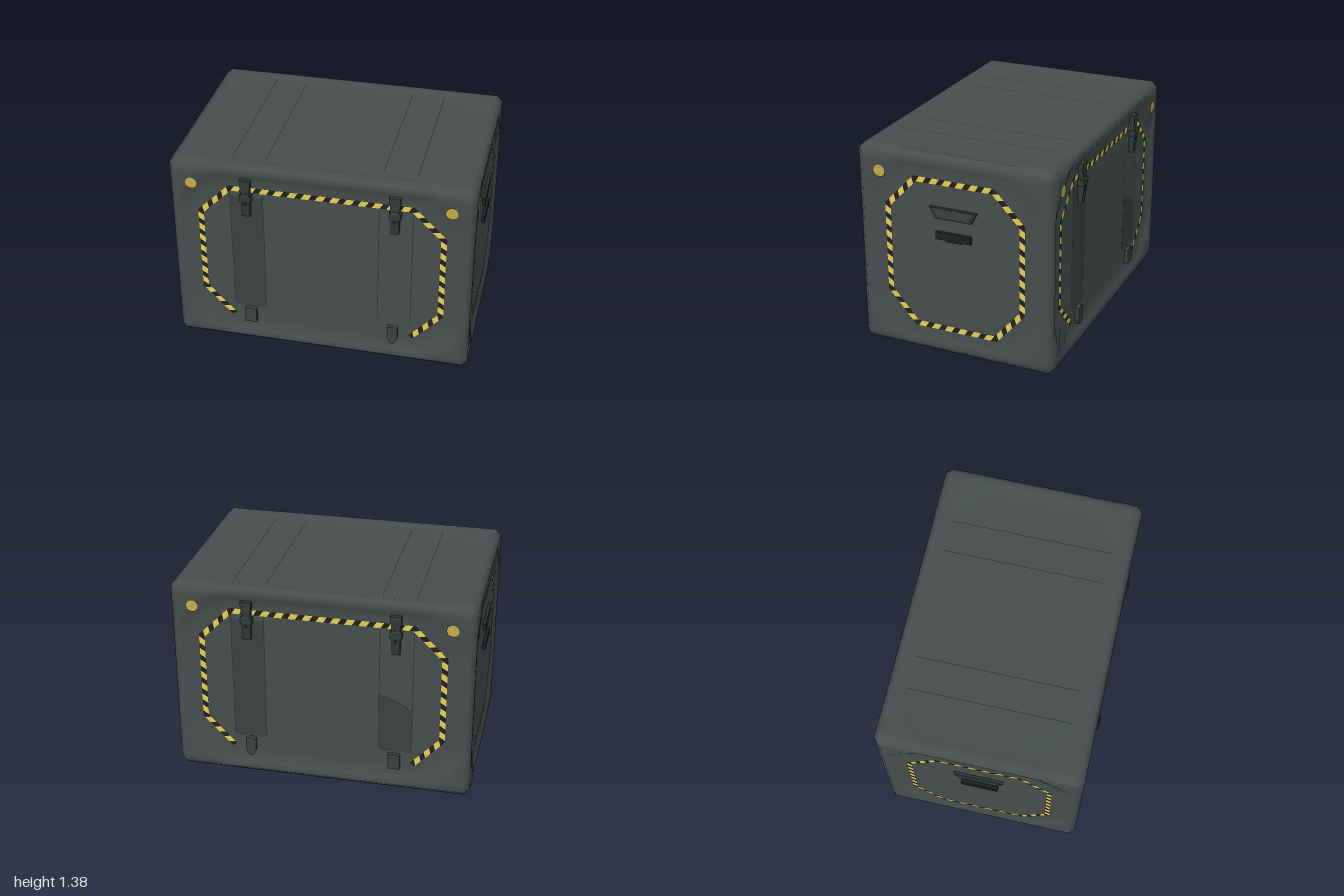
import * as THREE from 'three';
import { mergeVertices } from 'three/addons/utils/BufferGeometryUtils.js';

const SIZE = [1.99, 1.385, 1.35];
const [W, H, D] = SIZE;
// How far the panels sink below the rims along x, y and z
const DIP = [0.018, 0.015, 0.032];

const material = (name, color) => {
  const m = new THREE.MeshStandardMaterial({ color });
  m.name = name;
  return m;
};

// Chamfered box whose faces dish inwards behind a rim with cut corners
function dishedBox() {
  const N = 24, chamfer = 0.042, rampEnd = 0.125;
  let g = new THREE.BoxGeometry(W, H, D, N, N, N);
  g.deleteAttribute('normal');
  g.deleteAttribute('uv');
  g = mergeVertices(g);
  const pos = g.attributes.position;
  for (let i = 0; i < pos.count; i++) {
    const p = [pos.getX(i), pos.getY(i), pos.getZ(i)];
    const ring = p.map((v, a) => Math.round((0.5 - Math.abs(v) / SIZE[a]) * N));
    const outer = ring.filter(r => r === 0).length;
    const inset = ring.map((r, a) => {
      if (r === 0) return chamfer * (outer - 1) / outer;
      if (r < 4) return [chamfer, 0.085, rampEnd][r - 1];
      return rampEnd + (r - 3) / (N / 2 - 3) * (SIZE[a] / 2 - rampEnd);
    });
    if (outer === 1) {
      const axis = ring.indexOf(0);
      const [u, v] = inset.filter((_, a) => a !== axis);
      const rim = Math.min(u, v, (u + v - 0.25) * Math.SQRT1_2);
      inset[axis] = DIP[axis] * THREE.MathUtils.smoothstep(rim, chamfer, rampEnd);
    }
    pos.setXYZ(i, ...p.map((v, a) => Math.sign(v) * (SIZE[a] / 2 - inset[a])));
  }
  g.computeVertexNormals();
  return g;
}

export function createModel() {
  const shell = material('shell grey', 0x474e4e);
  const strap = material('strap grey', 0x3a4041);
  const metal = material('latch grey', 0x33393a);
  const seamMat = material('seam dark', 0x2c3132);
  const black = material('hazard black', 0x1e2022);
  const yellow = material('hazard yellow', 0xe8d052);
  const gold = material('marker yellow', 0xc2ad48);

  const model = new THREE.Group();
  model.name = 'crate';
  const add = (parent, name, geometry, mat, x = 0, y = 0, z = 0) => {
    const mesh = new THREE.Mesh(geometry, mat);
    mesh.name = name;
    mesh.position.set(x, y, z);
    parent.add(mesh);
    return mesh;
  };
  const poly = pts => new THREE.Shape(pts.map(p => new THREE.Vector2(...p)));
  const plate = (pts, depth) => new THREE.ExtrudeGeometry(poly(pts), { depth, bevelEnabled: false });

  add(model, 'body', dishedBox(), shell, 0, H / 2, 0);

  // Each face is a group whose local xy lies on the sunken panel, z outward
  const face = (name, x, y, z, rx, ry) => {
    const g = new THREE.Group();
    g.name = name;
    g.position.set(x, y, z);
    g.rotation.set(rx, ry, 0);
    model.add(g);
    return g;
  };
  const front = face('frontFace', 0, 0, D / 2 - DIP[2], 0, 0);
  const back = face('backFace', 0, 0, DIP[2] - D / 2, 0, Math.PI);
  const left = face('leftFace', W / 2 - DIP[0], 0, 0, 0, Math.PI / 2);
  const right = face('rightFace', DIP[0] - W / 2, 0, 0, 0, -Math.PI / 2);
  const top = face('topFace', 0, H - DIP[1], 0, -Math.PI / 2, 0);
  const bottom = face('bottomFace', 0, DIP[1], 0, Math.PI / 2, 0);

  // Black band with slanted yellow stripes along a path
  function hazardBand(parent, path, closed) {
    const bands = [], stripes = [], half = 0.019;
    const count = closed ? path.length : path.length - 1;
    for (let i = 0; i < count; i++) {
      const a = new THREE.Vector2(...path[i]);
      const b = new THREE.Vector2(...path[(i + 1) % path.length]);
      const length = a.distanceTo(b);
      const dir = b.clone().sub(a).normalize();
      const at = (s, t) => [a.x + dir.x * s - dir.y * t, a.y + dir.y * s + dir.x * t];
      bands.push(poly([at(-0.007, -half), at(length + 0.007, -half), at(length + 0.007, half), at(-0.007, half)]));
      const n = Math.round(length / 0.092), step = length / n;
      for (let k = 0; k < n; k++) {
        const s = (k + 0.5) * step, w = step * 0.27, skew = 0.012;
        stripes.push(poly([
          at(s - w - skew, -half), at(s + w - skew, -half),
          at(s + w + skew, half), at(s - w + skew, half)]));
      }
    }
    add(parent, 'hazardBand', new THREE.ShapeGeometry(bands), black, 0, 0, 0.002);
    add(parent, 'hazardStripes', new THREE.ShapeGeometry(stripes), yellow, 0, 0, 0.0035);
  }

  // Round marker on the raised corner of a face
  function marker(parent, x, y, rise) {
    add(parent, 'markerRim', new THREE.CircleGeometry(0.042, 24), seamMat, x, y, rise + 0.001);
    add(parent, 'marker', new THREE.CircleGeometry(0.039, 24), gold, x, y, rise + 0.0025);
  }

  // Pairs of seams marking the strap channels
  function seams(parent, y0, y1) {
    for (const x of [-0.6, -0.38, 0.38, 0.6])
      add(parent, 'strapSeam', new THREE.PlaneGeometry(0.005, y1 - y0), seamMat, x, (y0 + y1) / 2, 0.0015);
  }

  // Latch standing up from the panel: flared cap, wedge lever, knuckle and rivet
  function latch(parent, x) {
    const g = new THREE.Group();
    g.name = 'latch';
    g.position.x = x;
    parent.add(g);
    add(g, 'latchCap', plate([[-0.04, 1.285], [-0.028, 1.18], [0.028, 1.18], [0.036, 1.285]], DIP[2] + 0.003), metal);
    const lever = new THREE.ExtrudeGeometry(
      poly([[0, 1.015], [0.028, 1.015], [0.045, 1.175], [0.038, 1.19], [0, 1.19]]),
      { depth: 0.054, bevelEnabled: false });
    lever.rotateY(-Math.PI / 2);
    add(g, 'latchLever', lever, metal, 0.027);
    add(g, 'latchKnuckle', new THREE.BoxGeometry(0.076, 0.045, 0.042), metal, 0, 1.155, 0.022);
    const rivet = new THREE.CylinderGeometry(0.013, 0.013, 0.006, 12).rotateX(Math.PI / 2);
    add(g, 'latchRivet', rivet, black, 0, 1.115, 0.039);
  }

  // Lower catch, square on one side and tongue shaped on the other
  function lowerCatch(parent, x, rounded) {
    const pts = rounded
      ? [[-0.035, 0.265], [-0.035, 0.18], [-0.018, 0.145], [0, 0.135], [0.018, 0.145], [0.035, 0.18], [0.035, 0.265], [0, 0.275]]
      : [[-0.04, 0.265], [-0.04, 0.16], [0.04, 0.16], [0.04, 0.265], [0, 0.275]];
    add(parent, 'lowerCatch', plate(pts, DIP[2] - 0.004), strap, x);
  }

  // Long faces
  const archPath = [[-0.61, 0.2], [-0.8, 0.4], [-0.8, 1], [-0.6, 1.2], [0.6, 1.2], [0.8, 1], [0.8, 0.4], [0.61, 0.2]];
  for (const f of [front, back]) {
    hazardBand(f, archPath, false);
    seams(f, 0.3, 1.17);
    for (const s of [-1, 1]) {
      marker(f, s * 0.845, 1.225, DIP[2]);
      latch(f, s * 0.487);
      lowerCatch(f, s * 0.487, (s > 0) === (f === front));
    }
    // Exposed strap in the channel
    add(f, 'strap', new THREE.PlaneGeometry(0.215, 0.87), strap, -0.49, 0.71, 0.001);
  }
  add(back, 'shortStrap', plate([[0.38, 0.28], [0.6, 0.28], [0.6, 0.6], [0.5, 0.66], [0.38, 0.7]], 0.001), strap);

  // Short faces with carry handles
  const ringPath = [[-0.28, 0.187], [-0.465, 0.4], [-0.465, 1], [-0.27, 1.205], [0.27, 1.205], [0.465, 1], [0.465, 0.4], [0.28, 0.187]];
  for (const f of [left, right]) {
    hazardBand(f, ringPath, true);
    const g = new THREE.Group();
    g.name = 'handle';
    f.add(g);
    add(g, 'handleHood', plate([[-0.165, 1.04], [-0.125, 0.965], [0.125, 0.965], [0.165, 1.04]], 0.019), seamMat);
    add(g, 'handleHoodFace', plate([[-0.145, 1.034], [-0.105, 0.978], [0.105, 0.978], [0.145, 1.034]], 0.0205), strap);
    add(g, 'handleGrip', new THREE.BoxGeometry(0.245, 0.05, 0.044), black, 0, 0.85, 0);
    add(g, 'handleGripLip', new THREE.BoxGeometry(0.11, 0.012, 0.03), seamMat, 0, 0.819, 0);
  }
  marker(left, -0.51, 1.225, DIP[0]);

  // Top and underside, the underside band open towards the front
  seams(top, -0.53, 0.55);
  seams(bottom, -0.55, 0.53);
  hazardBand(bottom, archPath.map(([x, y]) => [x, 0.7 - y]), false);
  return model;
}
